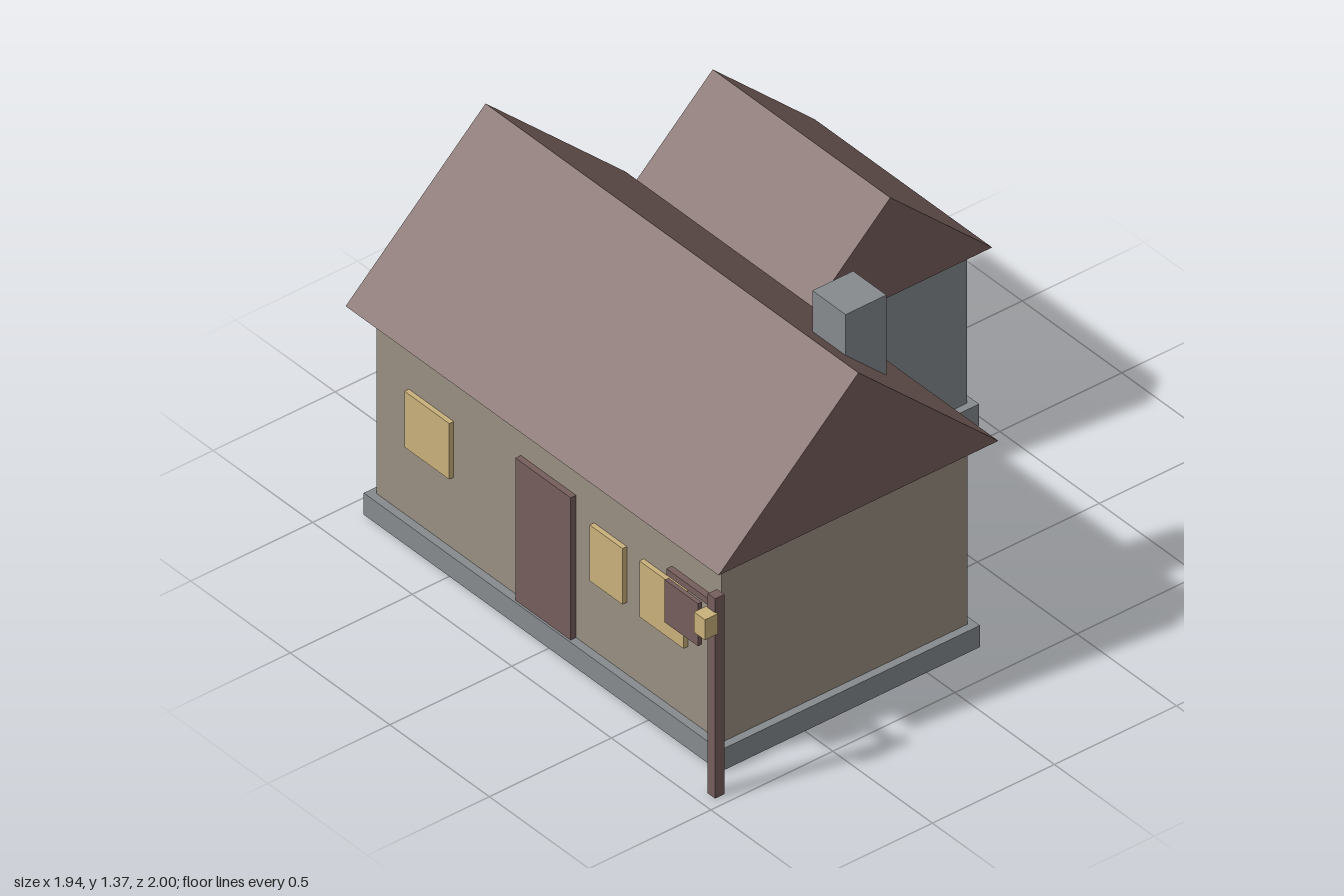
import * as THREE from 'three';

const material = (name, color) => {
  const m = new THREE.MeshStandardMaterial({ color });
  m.name = name;
  return m;
};

export function createModel() {
  const plaster = material('plaster', 0x9a9083);
  const timber = material('timber', 0x755e5b);
  const stone = material('stone', 0x868b8e);
  const glow = material('lampGlow', 0xc9b17b);

  const model = new THREE.Group();
  model.name = 'cottage';

  const add = (parent, name, geometry, mat) => {
    const mesh = new THREE.Mesh(geometry, mat);
    mesh.name = name;
    parent.add(mesh);
    return mesh;
  };

  // Box given by its extents along each axis
  const box = (parent, name, mat, [x0, x1], [y0, y1], [z0, z1]) => {
    const mesh = add(parent, name, new THREE.BoxGeometry(x1 - x0, y1 - y0, z1 - z0), mat);
    mesh.position.set((x0 + x1) / 2, (y0 + y1) / 2, (z0 + z1) / 2);
    return mesh;
  };

  // Solid gable roof with its ridge running along x
  const gableRoof = (parent, name, [x0, x1], [y0, y1], [z0, z1]) => {
    const half = (z1 - z0) / 2;
    const shape = new THREE.Shape([
      new THREE.Vector2(-half, 0),
      new THREE.Vector2(half, 0),
      new THREE.Vector2(0, y1 - y0),
    ]);
    const geometry = new THREE.ExtrudeGeometry(shape, { depth: x1 - x0, bevelEnabled: false });
    geometry.rotateY(Math.PI / 2);
    const mesh = add(parent, name, geometry, timber);
    mesh.position.set(x0, y0, (z0 + z1) / 2);
    return mesh;
  };

  const group = (name) => {
    const g = new THREE.Group();
    g.name = name;
    model.add(g);
    return g;
  };

  // Main house
  const house = group('mainHouse');
  box(house, 'foundation', stone, [-0.93, 0.86], [0, 0.085], [-0.217, 0.848]);
  box(house, 'walls', plaster, [-0.903, 0.83], [0.085, 0.815], [-0.19, 0.818]);
  gableRoof(house, 'roof', [-0.973, 0.9], [0.813, 1.345], [-0.26, 0.887]);
  box(house, 'chimney', stone, [0.495, 0.662], [0.95, 1.374], [0.005, 0.172]);

  // Door and windows on the front
  box(house, 'door', timber, [-0.178, 0.1], [0.085, 0.644], [0.81, 0.84]);
  for (const span of [[-0.74, -0.515], [0.19, 0.355], [0.44, 0.662]]) {
    box(house, 'window', glow, span, [0.367, 0.587], [0.81, 0.836]);
  }

  // Rear wing
  const wing = group('rearWing');
  box(wing, 'wingFoundation', stone, [-0.9, -0.067], [0, 0.084], [-0.97, -0.195]);
  box(wing, 'wingWalls', stone, [-0.875, -0.095], [0.084, 0.705], [-0.944, -0.217]);
  gableRoof(wing, 'wingRoof', [-0.93, -0.038], [0.702, 1.09], [-1, -0.165]);

  // Sign post with hanging board and lantern
  const post = group('signPost');
  box(post, 'pole', timber, [0.924, 0.961], [0, 0.785], [0.913, 0.951]);
  box(post, 'arm', timber, [0.705, 0.93], [0.73, 0.755], [0.918, 0.942]);
  box(post, 'signBoard', timber, [0.692, 0.859], [0.535, 0.702], [0.922, 0.938]);
  box(post, 'lantern', glow, [0.915, 0.97], [0.65, 0.73], [0.947, 1]);

  return model;
}
